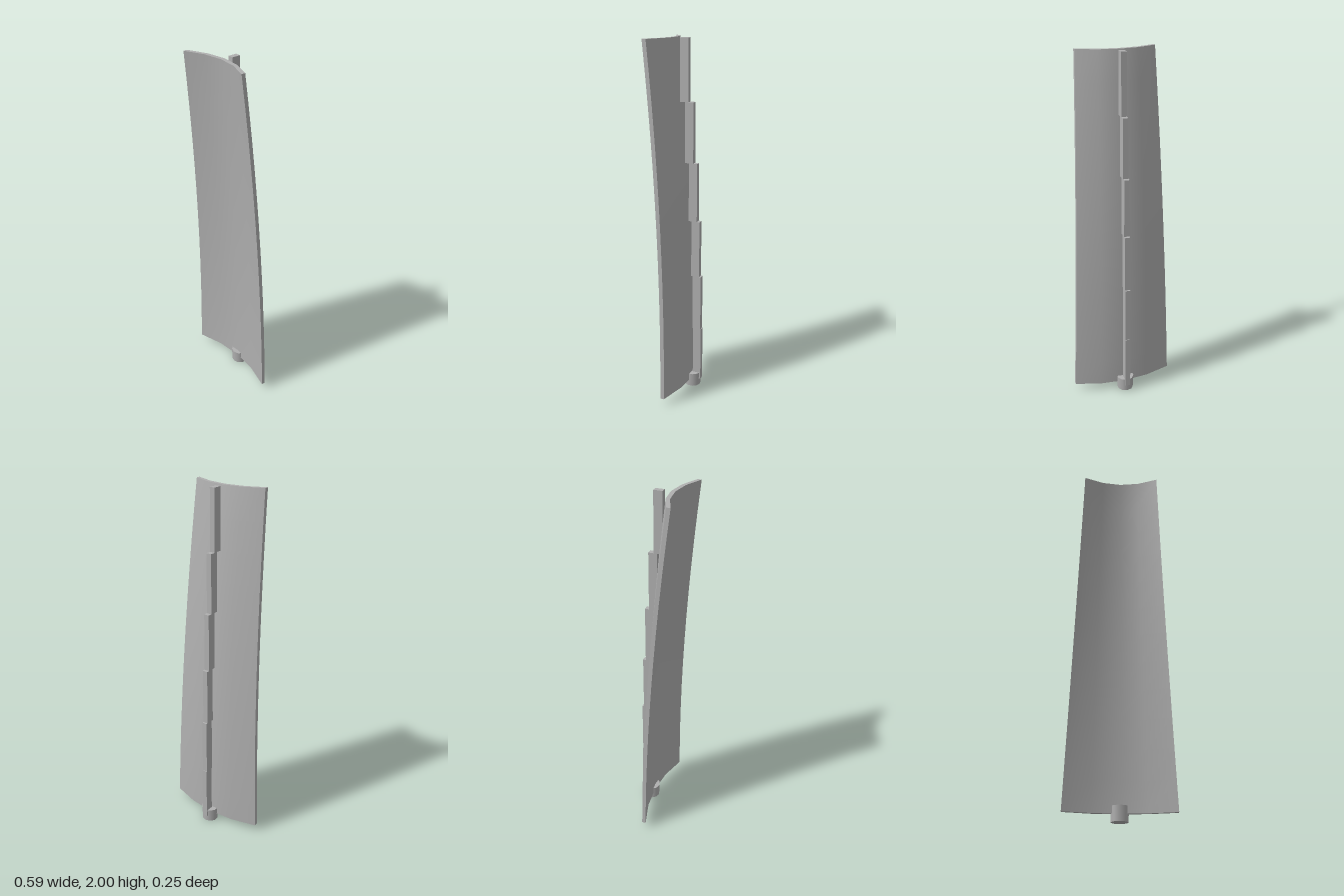
import * as THREE from 'three';

const BOTTOM = 0.04, HEIGHT = 1.96, SWEEP = 0.118, RIBS = 6;

// Thin tapered panel, arched across its width and swept forward toward the top
function bladeGeometry() {
  const geo = new THREE.BoxGeometry(2, 1, 1, 4, 12, 1);
  const p = geo.attributes.position;
  for (let i = 0; i < p.count; i++) {
    const u = p.getX(i), t = p.getY(i) + 0.5, back = p.getZ(i) < 0;
    const halfWidth = THREE.MathUtils.lerp(0.295, 0.215, t);
    const arch = THREE.MathUtils.lerp(0.056, 0.059, t) * u * u;
    const z = -0.051 + (SWEEP - 0.004) * t * t + arch - (back ? 0.022 : 0);
    p.setXYZ(i, u * halfWidth, BOTTOM + t * HEIGHT, z);
  }
  geo.computeVertexNormals();
  return geo;
}

export function createModel() {
  const group = new THREE.Group();
  const grey = new THREE.MeshStandardMaterial({ color: 0xb0b0b0 });
  grey.name = 'grey';

  const add = (name, geo, x = 0, y = 0, z = 0) => {
    const mesh = new THREE.Mesh(geo, grey);
    mesh.name = name;
    mesh.position.set(x, y, z);
    group.add(mesh);
    return mesh;
  };

  add('blade', bladeGeometry());

  // Stepped spine behind the blade, following its sweep
  const step = HEIGHT / RIBS;
  for (let i = 0; i < RIBS; i++) {
    const z = -0.102 + SWEEP * (i / RIBS) ** 2;
    add('spineSegment' + (i + 1), new THREE.BoxGeometry(0.03, step, 0.048), 0, BOTTOM + step * (i + 0.5), z);
  }

  // Root pivot
  add('rootPin', new THREE.CylinderGeometry(0.05, 0.047, 0.08, 10), 0, 0.04, -0.073);

  return group;
}
